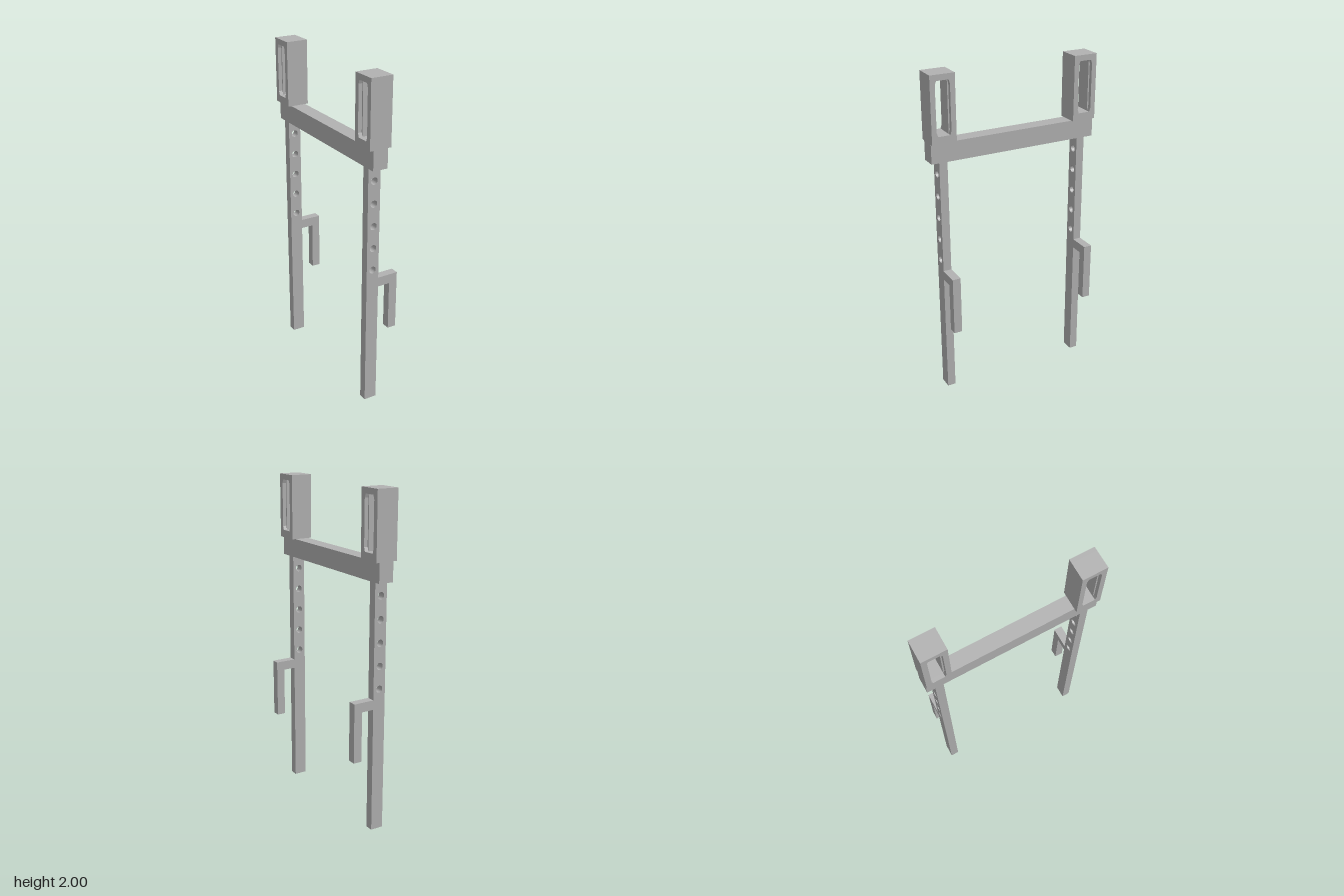
import * as THREE from 'three';

const polygon = (points) => points.map(([x, y]) => new THREE.Vector2(x, y));

export function createModel() {
  const model = new THREE.Group();
  model.name = 'hangingFrame';
  const grey = new THREE.MeshStandardMaterial({ color: 0xb2b2b2 });
  grey.name = 'plain grey';

  const add = (parent, name, geometry) => {
    const mesh = new THREE.Mesh(geometry, grey);
    mesh.name = name;
    parent.add(mesh);
    return mesh;
  };
  const extrude = (shape, depth) =>
    new THREE.ExtrudeGeometry(shape, { depth, bevelEnabled: false, curveSegments: 16 });

  // Cross bar joining both sides
  add(model, 'crossBar', new THREE.BoxGeometry(0.091, 0.115, 1.05).translate(-0.0495, 1.5525, 0));

  // Post and downward hook in one outline, with a row of adjustment holes
  const postShape = new THREE.Shape(polygon([
    [-0.092, 0], [-0.014, 0], [-0.014, 0.758], [0.062, 0.758], [0.062, 0.457],
    [0.114, 0.457], [0.114, 0.815], [-0.014, 0.815], [-0.014, 1.495], [-0.092, 1.495],
  ]));
  for (let i = 0; i < 5; i++) {
    postShape.holes.push(new THREE.Path().absarc(-0.053, 0.875 + i * 0.135, 0.021, 0, Math.PI * 2, true));
  }
  const postGeometry = extrude(postShape, 0.05).translate(0, 0, -0.025);

  // Slotted housing, a slab cut along x: the slot widens near both faces
  const housingSlab = (slot, x0, x1) => {
    const shape = new THREE.Shape(polygon([
      [-0.074, 1.61], [0.074, 1.61], [0.074, 2], [-0.074, 2],
    ]));
    shape.holes.push(new THREE.Path(polygon(slot)));
    return extrude(shape, x1 - x0).rotateY(Math.PI / 2).translate(x0, 0, 0);
  };
  const narrowSlot = [[-0.036, 1.655], [-0.036, 1.966], [0.036, 1.966], [0.036, 1.655]];
  const wideSlot = [
    [-0.036, 1.655], [-0.044, 1.678], [-0.044, 1.943], [-0.036, 1.966],
    [0.036, 1.966], [0.044, 1.943], [0.044, 1.678], [0.036, 1.655],
  ];

  for (const [side, sign] of [['front', 1], ['back', -1]]) {
    const post = add(model, side + 'HookPost', postGeometry);
    post.position.z = sign * 0.45;

    const housing = new THREE.Group();
    housing.name = side + 'Housing';
    housing.position.z = sign * 0.451;
    add(housing, 'housingOuterFace', housingSlab(wideSlot, -0.007, 0.016));
    add(housing, 'housingCore', housingSlab(narrowSlot, -0.094, -0.007));
    add(housing, 'housingInnerFace', housingSlab(wideSlot, -0.117, -0.094));
    model.add(housing);
  }
  return model;
}
